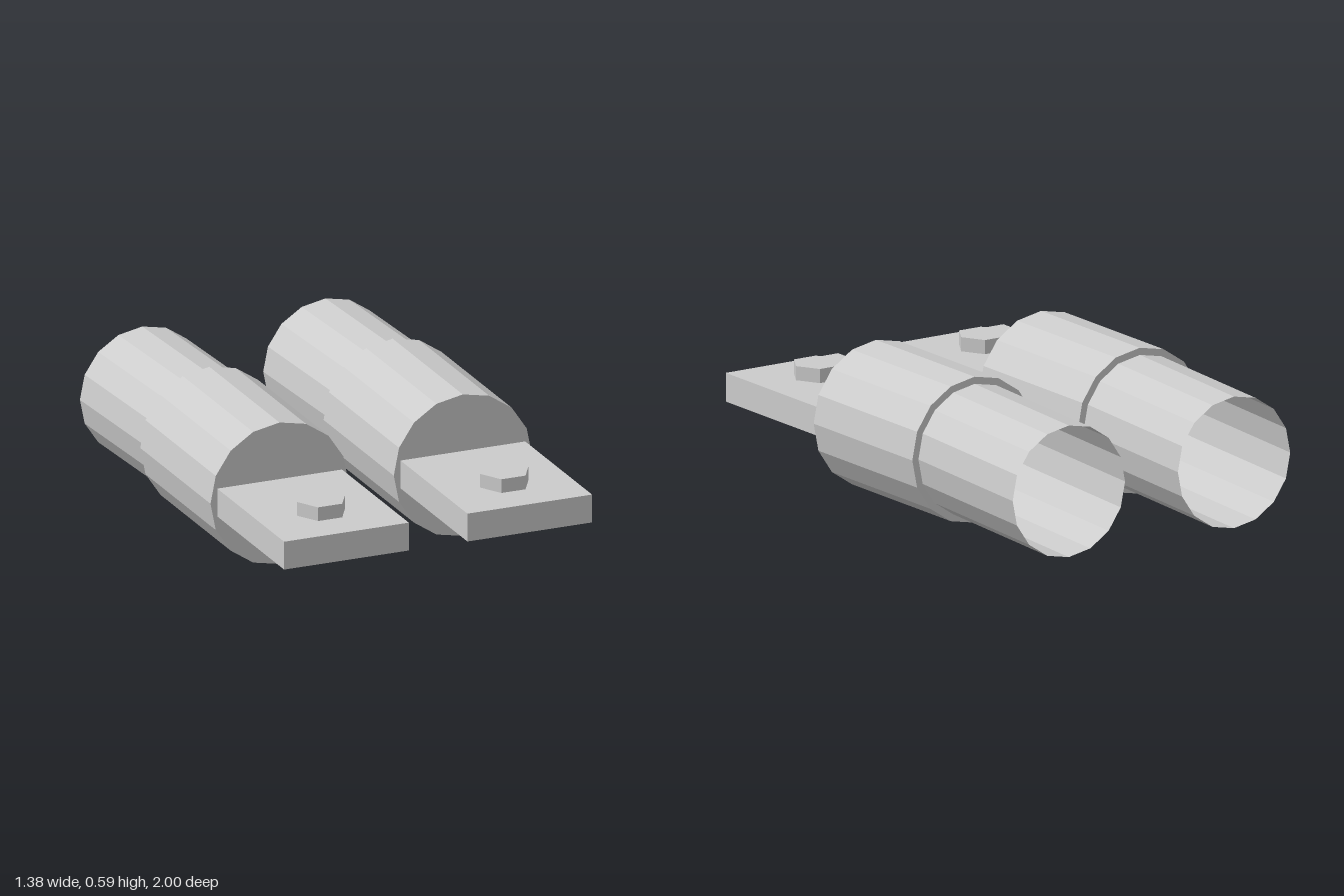
import * as THREE from 'three';

const AXIS_Y = 0.298, SPACING = 0.394, STEP_Z = -0.343, FACE_Z = 0.345;
const material = new THREE.MeshStandardMaterial({ color: 0xcccccc, flatShading: true, side: THREE.DoubleSide });

function addPart(parent, name, geometry, y, z) {
  const mesh = new THREE.Mesh(geometry, material);
  mesh.name = name;
  mesh.position.set(0, y, z);
  parent.add(mesh);
  return mesh;
}

// Hollow sixteen-sided barrel: open narrow tube, step, wide body, closed front
function barrelGeometry() {
  const profile = [[0.268, -1], [0.268, STEP_Z], [0.297, STEP_Z], [0.297, FACE_Z], [0, FACE_Z]]
    .map(([r, z]) => new THREE.Vector2(r, z));
  const geometry = new THREE.LatheGeometry(profile, 16).rotateX(Math.PI / 2);
  // The narrow tube drops slightly towards its upright open end
  const p = geometry.attributes.position;
  for (let i = 0; i < p.count; i++) {
    const back = Math.max(0, STEP_Z - p.getZ(i)) / (STEP_Z + 1);
    p.setY(i, p.getY(i) - 0.026 * back);
  }
  geometry.computeVertexNormals();
  return geometry;
}

function createConnector(name, x) {
  const connector = new THREE.Group();
  connector.name = name;
  connector.position.x = x;
  addPart(connector, 'barrel', barrelGeometry(), AXIS_Y, 0);

  // Flat mounting tongue with a hexagonal bolt through it
  const length = 1 - FACE_Z;
  addPart(connector, 'tongue', new THREE.BoxGeometry(0.536, 0.117, length), 0.299, 1 - length / 2);
  const bolt = new THREE.CylinderGeometry(0.104, 0.104, 0.232, 6).rotateY(Math.PI / 6);
  addPart(connector, 'bolt', bolt, 0.299, 0.75);
  return connector;
}

export function createModel() {
  const model = new THREE.Group();
  model.name = 'pairOfConnectors';
  model.add(createConnector('leftConnector', SPACING), createConnector('rightConnector', -SPACING));
  return model;
}
